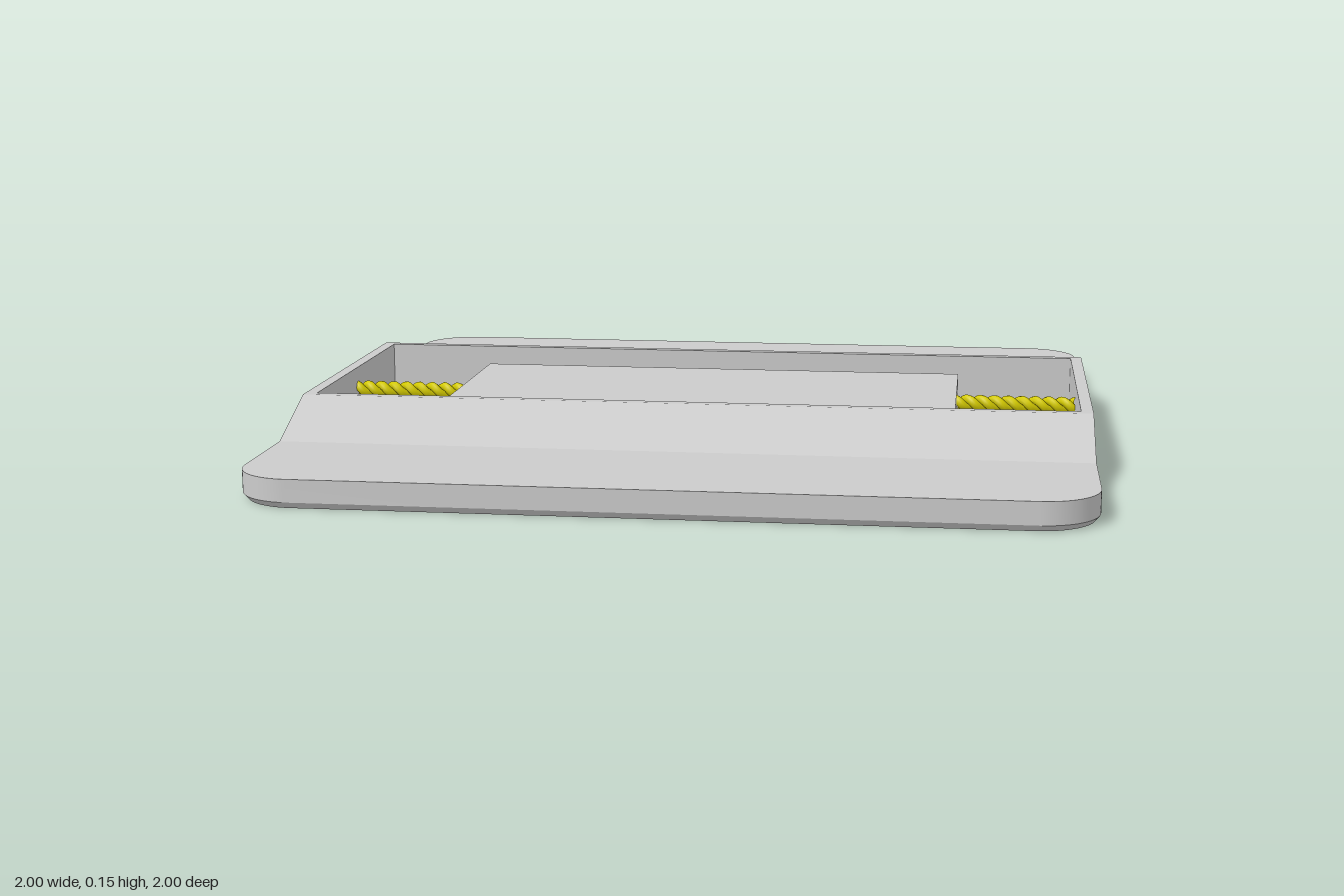
import * as THREE from 'three';
import { toCreasedNormals } from 'three/addons/utils/BufferGeometryUtils.js';

const grey = new THREE.MeshStandardMaterial({ color: 0xcccccc });
const yellow = new THREE.MeshStandardMaterial({ color: 0xd6cc00 });

const FLOOR = 0.015, PLATE = 0.07, TOP = 0.15; // heights
const PX = 0.97, PZ = 0.375;                   // pocket half sizes

function add(parent, name, geometry, material = grey) {
  const mesh = new THREE.Mesh(geometry, material);
  mesh.name = name;
  parent.add(mesh);
  return mesh;
}

// Square outline with rounded corners
function roundedSquare(h, r) {
  const s = new THREE.Shape(), c = h - r;
  s.absarc(c, c, r, 0, Math.PI / 2);
  s.absarc(-c, c, r, Math.PI / 2, Math.PI);
  s.absarc(-c, -c, r, Math.PI, Math.PI * 1.5);
  s.absarc(c, -c, r, Math.PI * 1.5, Math.PI * 2);
  s.closePath();
  return s;
}

// Extrude an outline drawn in x and -z upward from y0 to y1
function slab(shape, y0, y1) {
  const g = new THREE.ExtrudeGeometry(shape, { depth: y1 - y0, bevelEnabled: false, curveSegments: 12 });
  return g.rotateX(-Math.PI / 2).translate(0, y0, 0);
}

// Two-strand twisted rod along x
class Helix extends THREE.Curve {
  constructor(length, radius, turns, phase) {
    super();
    Object.assign(this, { length, radius, turns, phase });
  }
  getPoint(t, target = new THREE.Vector3()) {
    const a = this.phase + t * this.turns * Math.PI * 2;
    return target.set((t - 0.5) * this.length, this.radius * Math.cos(a), this.radius * Math.sin(a));
  }
}

export function createModel() {
  const model = new THREE.Group();
  model.name = 'lockPlate';

  // Base floor, its lower rim drawn in slightly
  const outline = roundedSquare(1, 0.14);
  const floor = slab(outline, 0, FLOOR);
  const p = floor.attributes.position;
  for (let i = 0; i < p.count; i++) {
    if (p.getY(i) < 0.001) p.setXYZ(i, p.getX(i) * 0.99, p.getY(i), p.getZ(i) * 0.99);
  }
  add(model, 'baseFloor', toCreasedNormals(floor, 0.5));

  // Upper base with the pocket cut out
  const upper = roundedSquare(1, 0.14);
  upper.holes.push(new THREE.Path([[-PX, -PZ], [-PX, PZ], [PX, PZ], [PX, -PZ]].map(([x, y]) => new THREE.Vector2(x, y))));
  add(model, 'basePlate', toCreasedNormals(slab(upper, FLOOR, PLATE), 0.5));

  // Sloped ridge along the front and back of the pocket, thin walls at the ends
  for (const [side, label] of [[1, 'front'], [-1, 'back']]) {
    const profile = new THREE.Shape([[PZ, PLATE], [0.6, PLATE], [0.4, TOP], [PZ, TOP]]
      .map(([z, y]) => new THREE.Vector2(side * z, y)));
    const ridge = new THREE.ExtrudeGeometry(profile, { depth: 2, bevelEnabled: false });
    ridge.translate(0, 0, -1).rotateY(-Math.PI / 2);
    add(model, label + 'Ridge', ridge);
  }
  for (const side of [1, -1]) {
    const wall = add(model, side > 0 ? 'leftEndWall' : 'rightEndWall',
      new THREE.BoxGeometry(1 - PX, TOP - PLATE, PZ * 2));
    wall.position.set(side * (1 + PX) / 2, (TOP + PLATE) / 2, 0);
  }

  // Two interlocking blocks meeting along a jagged seam (x, z)
  const seam = [[-0.06, -0.26], [-0.06, -0.2], [0.045, -0.14], [0.045, -0.08], [-0.06, 0],
    [-0.06, 0.07], [0.06, 0.14], [0.06, 0.2], [0, 0.26]];
  for (const side of [1, -1]) {
    const pts = [...seam, [side * 0.66, 0.26], [side * 0.66, -0.26]].map(([x, z]) => new THREE.Vector2(x, -z));
    add(model, side > 0 ? 'leftBlock' : 'rightBlock', slab(new THREE.Shape(pts), 0.06, 0.12));
  }

  // Twisted rods holding the blocks to the end walls
  for (const side of [1, -1]) {
    const rod = new THREE.Group();
    rod.name = side > 0 ? 'leftTwistedRod' : 'rightTwistedRod';
    for (const phase of [0, Math.PI]) {
      add(rod, 'strand', new THREE.TubeGeometry(new Helix(0.32, 0.011, 4.5, phase), 90, 0.012, 8), yellow);
    }
    rod.position.set(side * 0.815, 0.09, 0);
    model.add(rod);
  }
  return model;
}
